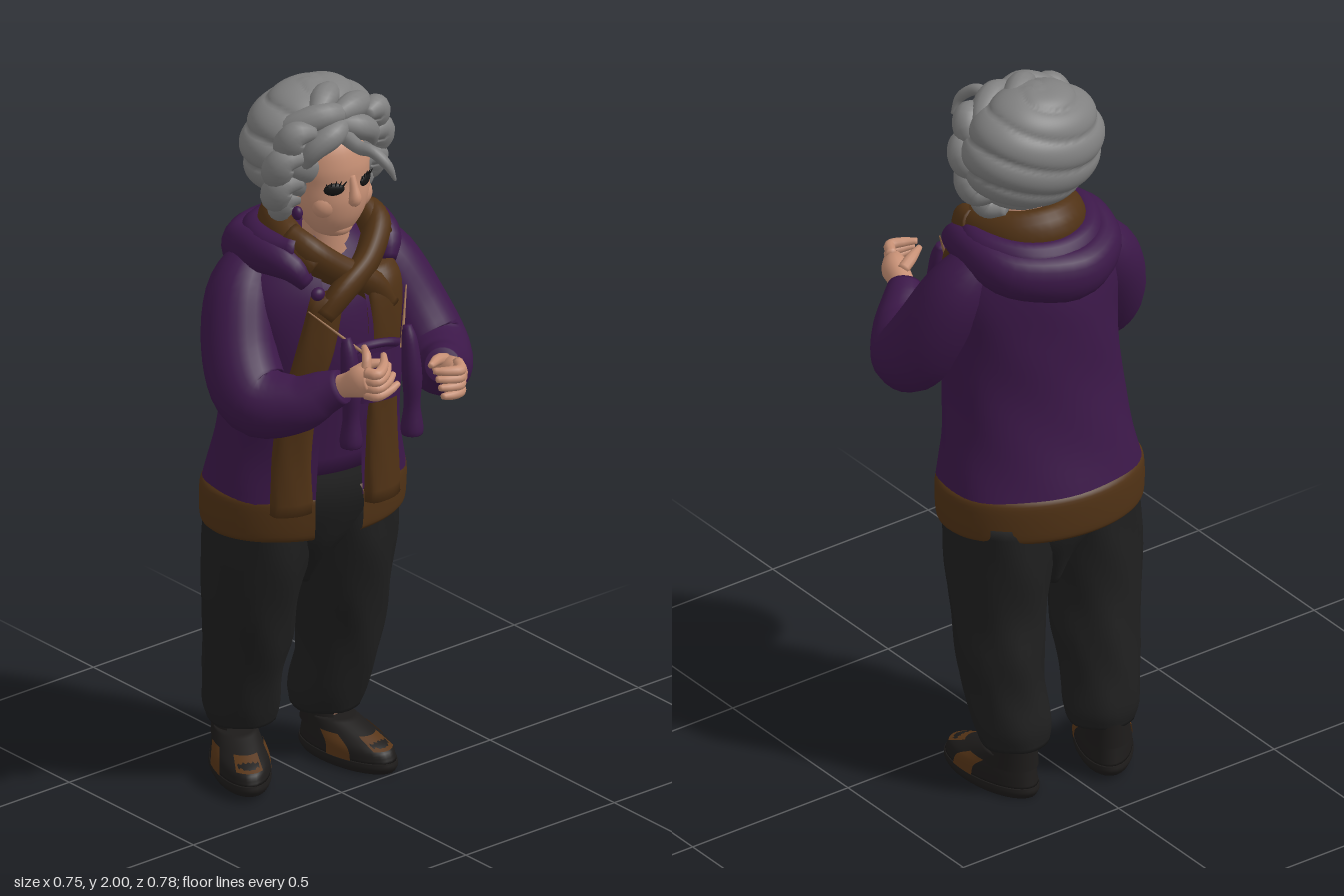
import * as THREE from 'three';

const mat = (name, color, side = THREE.FrontSide) => {
  const m = new THREE.MeshStandardMaterial({ color, side });
  m.name = name;
  return m;
};
const M = {
  purple: mat('plum wool', 0x3c1849, THREE.DoubleSide),
  brown: mat('brown knit', 0x503215, THREE.DoubleSide),
  black: mat('charcoal cloth', 0x1f1f1f),
  shoe: mat('shoe leather', 0x1d1b1a),
  tan: mat('shoe patch', 0x573517, THREE.DoubleSide),
  hair: mat('grey hair', 0x808080),
  skin: mat('skin', 0xc79075),
  dark: mat('eye dark', 0x141414),
  lip: mat('lips', 0xa87060),
  wood: mat('needle wood', 0x9a6f4c),
};

// Joins rings of points into a surface; full rings wrap round.
function skin(rings, wrap) {
  const n = rings[0].length, pos = [], idx = [];
  rings.forEach(r => r.forEach(p => pos.push(p.x, p.y, p.z)));
  for (let j = 0; j < rings.length - 1; j++)
    for (let i = 0; i < (wrap ? n : n - 1); i++) {
      const k = (i + 1) % n, a = j * n + i, b = j * n + k;
      idx.push(a, b, b + n, a, b + n, a + n);
    }
  const g = new THREE.BufferGeometry();
  g.setAttribute('position', new THREE.Float32BufferAttribute(pos, 3));
  g.setIndex(idx);
  g.computeVertexNormals();
  return g;
}

// Smoothly samples rows of [x, y, z, r1, r2], closing the ends when capped.
function sample(rows, cap, steps = 5) {
  const c = new THREE.CatmullRomCurve3(rows.map(r => new THREE.Vector3(r[0], r[1], r[2])), false, 'catmullrom');
  const w = new THREE.CatmullRomCurve3(rows.map(r => new THREE.Vector3(r[3], r[4] ?? r[3], 0)), false, 'catmullrom');
  const n = (rows.length - 1) * steps, out = [];
  for (let i = 0; i <= n; i++) {
    const s = w.getPoint(i / n);
    out.push({ p: c.getPoint(i / n), t: c.getTangent(i / n), a: s.x, b: s.y });
  }
  if (cap) {
    out.unshift({ ...out[0], a: 0, b: 0 });
    out.push({ ...out[out.length - 1], a: 0, b: 0 });
  }
  return out;
}

// Level rings stacked upwards: a is the x radius, b the z radius, angle 0 faces front.
function loft(rows, { yaw = 0, from = 0, to = Math.PI * 2, seg = 32, fold = 0 } = {}) {
  const wrap = to - from > 6.28, c = Math.cos(yaw), s = Math.sin(yaw);
  return skin(sample(rows, wrap).map(({ p, a, b }) =>
    Array.from({ length: wrap ? seg : seg + 1 }, (_, i) => {
      const t = from + (to - from) * i / seg;
      const f = 1 + fold * Math.sin(5 * t + p.y * 14) * Math.cos(p.y * 9 + t);
      const x = a * f * Math.sin(t), z = b * f * Math.cos(t);
      return new THREE.Vector3(p.x + x * c + z * s, p.y, p.z - x * s + z * c);
    })), wrap);
}

// Rings square to a path, with changing radii.
function sweep(rows, seg = 12, steps = 5) {
  let u = null;
  return skin(sample(rows, true, steps).map(({ p, t, a, b }) => {
    if (!u) u = new THREE.Vector3(0, 1, 0).cross(t);
    if (u.lengthSq() < 1e-4) u.set(1, 0, 0);
    u.addScaledVector(t, -u.dot(t)).normalize();
    const v = t.clone().cross(u);
    return Array.from({ length: seg }, (_, i) => {
      const q = i / seg * Math.PI * 2;
      return p.clone().addScaledVector(u, a * Math.cos(q)).addScaledVector(v, b * Math.sin(q));
    });
  }), true);
}

// Ellipsoid cut by a spiral of rounded, wavy locks.
function swirledHair(cx, cy, cz, rx, ry, rz) {
  const rows = 72, seg = 96;
  return skin(Array.from({ length: rows + 1 }, (_, j) => {
    const lat = (j / rows - .5) * Math.PI;
    return Array.from({ length: seg }, (_, i) => {
      const phi = i / seg * Math.PI * 2;
      const lobe = Math.abs(Math.sin(6 * lat + phi + .7 * Math.sin(2 * phi + 1)));
      const f = 1 + .1 * Math.cos(lat) * (Math.sqrt(lobe) - .75), c = Math.cos(lat) * f;
      return new THREE.Vector3(cx + rx * c * Math.sin(phi), cy + ry * f * Math.sin(lat), cz + rz * c * Math.cos(phi));
    });
  }), true);
}

export function createModel() {
  const root = new THREE.Group();
  root.name = 'knittingLady';
  const add = (name, geo, m, parent = root) => {
    const mesh = new THREE.Mesh(geo, m);
    mesh.name = name;
    parent.add(mesh);
    return mesh;
  };
  const ball = (name, m, x, y, z, rx, ry = rx, rz = rx) => {
    const b = add(name, new THREE.SphereGeometry(1, 20, 14), m);
    b.position.set(x, y, z);
    b.scale.set(rx, ry, rz);
    return b;
  };
  const yaw = -0.2;

  // Trousers
  add('trouserSeat', loft([[0, .56, -.185, .025, .06], [0, .66, -.172, .08, .115], [0, .74, -.165, .19, .148], [0, .85, -.155, .255, .172], [0, .96, -.15, .225, .155]], { yaw }), M.black);
  add('leftTrouserLeg', loft([[.14, .14, -.235, .092, .093], [.142, .2, -.225, .106, .107], [.15, .3, -.2, .106, .115],
    [.15, .4, -.185, .114, .125], [.138, .52, -.165, .125, .134], [.13, .66, -.155, .134, .155], [.125, .8, -.15, .137, .16]], { fold: .035 }), M.black);
  add('rightTrouserLeg', loft([[-.1, .15, -.285, .09, .092], [-.105, .2, -.28, .103, .104], [-.116, .3, -.26, .106, .11],
    [-.12, .4, -.235, .116, .12], [-.133, .52, -.212, .125, .13], [-.13, .66, -.19, .134, .148], [-.125, .8, -.18, .137, .156]], { fold: .035 }), M.black);

  // Shoes, with patches lying just off the leather
  const upper = k => [[0, .03, 0, .074 + k, .16 + k], [0, .06, -.006, .071 + k, .148 + k], [0, .085, -.035, .062 + k, .115 + k], [0, .11, -.07, .055 + k, .08 + k]];
  for (const [name, x, y, z, turn] of [['left', .16, 0, -.165, .1], ['right', -.142, .015, -.24, -.5]]) {
    const g = new THREE.Group();
    g.name = name + 'Shoe';
    g.position.set(x, y, z);
    g.rotation.y = turn;
    root.add(g);
    add('sole', loft([[0, 0, 0, .07, .156], [0, .015, 0, .077, .164], [0, .03, 0, .075, .162]]), M.shoe, g);
    add('upper', loft(upper(0)), M.shoe, g);
    add('ankle', loft([[0, .09, -.08, .046, .052], [0, .19, -.085, .042, .046]]), M.skin, g);
    add('heelCounter', loft([[0, .08, -.08, .06, .076], [0, .15, -.088, .052, .064]], { from: .55, to: 5.73 }), M.shoe, g);
    for (const [a, b, k] of [[-.5, .5, 1], [1.1, 1.6, 0], [-1.6, -1.1, 0]])
      add('shoePatch', loft(upper(.003).slice(k, k + 3 - k), { from: a, to: b, seg: 12 }), M.tan, g);
  }

  // Jumper, open jacket and hem
  const body = k => [[0, .86, -.155, .275 + k, .198 + k], [0, 1.0, -.14, .252 + k, .183 + k], [0, 1.15, -.122, .238 + k, .182 + k],
    [0, 1.3, -.112, .235 + k, .188 + k], [0, 1.43, -.116, .23 + k, .178 + k], [0, 1.52, -.13, .19 + k, .145 + k], [0, 1.59, -.13, .11 + k, .1 + k]];
  add('jumper', loft([[0, .93, -.145, .235, .168], ...body(-.012).slice(2)], { yaw, seg: 48 }), M.purple);
  add('jacket', loft(body(.004), { yaw, from: .25, to: 6.03, seg: 56, fold: .014 }), M.purple);
  add('jacketHem', loft([[0, .755, -.158, .27, .194], [0, .775, -.158, .282, .205], [0, .86, -.156, .283, .206], [0, .885, -.156, .268, .192]],
    { yaw, from: .25, to: 6.03, seg: 56 }), M.brown);

  // Sleeves
  add('leftSleeve', sweep([[.14, 1.53, -.11, .06], [.208, 1.43, -.085, .092], [.258, 1.29, -.025, .1], [.27, 1.2, .045, .098],
    [.215, 1.205, .15, .078], [.165, 1.245, .21, .058], [.135, 1.265, .245, .045]], 24), M.purple);
  add('rightSleeve', sweep([[-.14, 1.53, -.17, .06], [-.21, 1.43, -.155, .092], [-.262, 1.29, -.095, .1], [-.275, 1.2, -.015, .098],
    [-.228, 1.205, .085, .077], [-.18, 1.245, .145, .058], [-.153, 1.27, .185, .045]], 24), M.purple);

  // Hood resting on the back
  add('hoodRoll', sweep([[-.125, 1.49, .01, .022], [-.155, 1.54, -.03, .042], [-.178, 1.55, -.13, .045, .055], [-.145, 1.52, -.235, .05, .065],
    [-.02, 1.5, -.29, .052, .075], [.135, 1.52, -.225, .05, .065], [.175, 1.55, -.11, .045, .055], [.155, 1.54, -.01, .042], [.13, 1.49, .03, .022]], 18), M.purple);
  add('hoodFold', sweep([[-.13, 1.58, -.02, .03], [-.16, 1.575, -.12, .04], [-.1, 1.56, -.22, .045], [0, 1.55, -.25, .05],
    [.1, 1.56, -.22, .045], [.16, 1.575, -.12, .04], [.13, 1.58, -.02, .03]], 16), M.purple);

  // Scarf
  add('scarfBack', sweep([[-.09, 1.53, .01, .04, .04], [-.12, 1.58, -.06, .042, .052], [-.09, 1.605, -.17, .04, .058], [0, 1.615, -.215, .038, .058],
    [.09, 1.605, -.17, .04, .058], [.13, 1.59, -.06, .042, .055], [.115, 1.55, .01, .04, .05]], 16), M.brown);
  add('scarfOverWrap', sweep([[.14, 1.6, -.07, .035, .042], [.125, 1.575, -.01, .038, .05], [.05, 1.51, .035, .036, .056], [-.04, 1.46, .052, .034, .055], [-.1, 1.4, .045, .028, .045]], 16), M.brown);
  add('scarfUnderWrap', sweep([[-.125, 1.6, -.07, .033, .042], [-.105, 1.565, -.01, .036, .05], [-.04, 1.51, .02, .036, .05], [.05, 1.45, .045, .034, .05], [.095, 1.38, .055, .028, .045]], 16), M.brown);
  add('scarfLeftEnd', loft([[.09, .84, .055, .06, .03], [.09, 1.0, .054, .056, .026], [.088, 1.15, .056, .054, .024], [.09, 1.3, .066, .057, .026], [.095, 1.44, .056, .062, .03], [.1, 1.5, .025, .05, .03]], { yaw: .15, fold: .05 }), M.brown);
  add('scarfRightEnd', loft([[-.16, .84, -.012, .058, .03], [-.16, 1.0, -.01, .055, .026], [-.15, 1.15, .006, .052, .026], [-.122, 1.3, .036, .052, .028], [-.085, 1.46, .045, .045, .03]], { yaw: -.4, fold: .05 }), M.brown);
  ball('jacketToggle', M.purple, -.122, 1.475, .05, .02, .018, .016);

  // Head and face
  add('neck', loft([[0, 1.5, -.07, .065, .065], [0, 1.66, -.06, .06, .06]]), M.skin);
  add('head', loft([[-.004, 1.59, -.03, .03, .03], [-.004, 1.608, -.033, .058, .05], [-.003, 1.65, -.04, .087, .081], [0, 1.7, -.05, .106, .102],
    [0, 1.75, -.055, .109, .104], [0, 1.8, -.06, .112, .107], [0, 1.86, -.07, .1, .095], [0, 1.9, -.09, .06, .06]]), M.skin);
  add('nose', sweep([[-.003, 1.775, .042, .01], [-.004, 1.745, .053, .012], [-.005, 1.715, .06, .017], [-.005, 1.703, .05, .014]]), M.skin);
  ball('chin', M.skin, -.004, 1.616, .004, .034, .022, .02);
  ball('lips', M.lip, -.004, 1.662, .037, .022, .005, .006);
  for (const s of [-1, 1]) {
    ball('cheek', M.skin, s * .046, 1.695, 0, .05, .042, .035);
    ball('ear', M.skin, s * .11, 1.725, -.06, .014, .032, .022);
    ball('earring', M.purple, s * .116, 1.672, -.04, .014, .019, .015);
    const ex = s * .052 - .004;
    ball('eye', M.dark, ex, 1.748, .036, .028, .017, .009).rotation.y = s * .45;
    for (let i = -2; i <= 2; i++)
      add('eyelash', sweep([[ex + i * .009, 1.755, .04 - s * i * .004, .003], [ex + i * .013, 1.774 - Math.abs(i) * .002, .046 - s * i * .005, .001]], 5, 2), M.dark);
  }

  // Hair
  const hair = new THREE.Group();
  hair.name = 'hair';
  root.add(hair);
  add('hairSwirl', swirledHair(0, 1.822, -.127, .2, .17, .148), M.hair, hair);
  for (const s of [-1, 1]) {
    // Soft curls framing the face
    for (const [x, y, z, r] of [[.122, 1.685, -.085, .042], [.148, 1.735, -.07, .05], [.155, 1.81, -.055, .052], [.13, 1.88, -.04, .05]])
      add('sideCurl', sweep([[s * (x - r * .9), y + r * .5, z + .035, r * .35], [s * x, y + r * .55, z + .018, r * .7], [s * (x + r * .25), y, z, r * .82],
        [s * x, y - r * .5, z - .02, r * .75], [s * (x - r * .6), y - r * .4, z - .06, r * .4]], 14), M.hair, hair);
    add('fringe', sweep([[s * -.015, 1.905, -.01, .022], [s * .04, 1.892, .012, .034], [s * .09, 1.86, 0, .03], [s * .115, 1.805, -.025, .016]], 14), M.hair, hair);
    add('quiff', sweep([[s * -.01, 1.93, -.01, .025], [s * .05, 1.935, -.02, .036], [s * .11, 1.91, -.06, .034], [s * .15, 1.87, -.12, .02]], 14), M.hair, hair);
  }
  add('topTuft', sweep([[-.06, 1.94, -.03, .025], [-.01, 1.96, -.06, .037], [.05, 1.95, -.1, .028]], 14), M.hair, hair);
  add('looseCurl', sweep([[0, 1.875, .01, .022], [-.006, 1.868, .08, .018], [.004, 1.868, .12, .016], [.025, 1.835, .155, .013], [.045, 1.79, .162, .004]], 12), M.hair, hair);

  // Hands
  add('leftPalm', sweep([[.14, 1.262, .235, .03], [.128, 1.27, .275, .032, .034], [.115, 1.275, .315, .036, .042], [.1, 1.28, .345, .025, .035]], 16), M.skin);
  add('rightPalm', sweep([[-.157, 1.268, .18, .03], [-.15, 1.285, .215, .032, .034], [-.145, 1.305, .255, .034, .042], [-.138, 1.315, .285, .024, .034]], 16), M.skin);
  for (let i = 0; i < 4; i++) {
    const y = i * .02;
    add('leftFinger', sweep([[.115, 1.25 + y, .33, .015], [.09, 1.25 + y, .37, .015], [.055, 1.252 + y, .378 - i * .006, .013], [.025, 1.255 + y, .375 - i * .012, .008]], 10), M.skin);
    add('rightFinger', sweep([[-.15, 1.28 + y, .275, .015], [-.135, 1.28 + y, .304, .015], [-.095, 1.285 + y, .306 - i * .008, .013], [-.064, 1.295 + y, .305 - i * .02, .008]], 10), M.skin);
  }
  add('leftThumb', sweep([[.125, 1.295, .27, .016], [.085, 1.31, .285, .015], [.04, 1.315, .31, .008]], 10), M.skin);
  add('rightThumb', sweep([[-.14, 1.31, .21, .016], [-.1, 1.335, .235, .014], [-.07, 1.34, .262, .008]], 10), M.skin);
  add('rightForefinger', sweep([[-.14, 1.33, .265, .013], [-.125, 1.37, .25, .012], [-.1, 1.375, .21, .008]], 10), M.skin);

  // Little knitted garment and its needles
  add('knittedBody', loft([[-.03, 1.2, .175, .07, .03], [-.03, 1.26, .172, .078, .03], [-.03, 1.335, .168, .082, .026]], { yaw: -.15, from: 0, to: 6.27 }), M.purple);
  add('knittedRim', sweep([[-.12, 1.33, .165, .015], [-.075, 1.338, .148, .012], [-.02, 1.335, .145, .012], [.03, 1.335, .165, .012], [.058, 1.33, .2, .015]]), M.purple);
  for (const [x, z] of [[-.115, .175], [.057, .215]])
    add('knittedSleeve', sweep([[x, 1.085, z, .028], [x, 1.105, z, .03], [x, 1.17, z, .022], [x, 1.25, z, .027], [x, 1.34, z - .01, .022], [x, 1.385, z - .02, .012]], 14), M.purple);
  add('rightNeedle', sweep([[-.07, 1.33, .2, .005], [-.19, 1.46, .092, .002]], 8, 3), M.wood);
  add('leftNeedle', sweep([[.035, 1.33, .2, .005], [.11, 1.46, .128, .002]], 8, 3), M.wood);
  return root;
}
